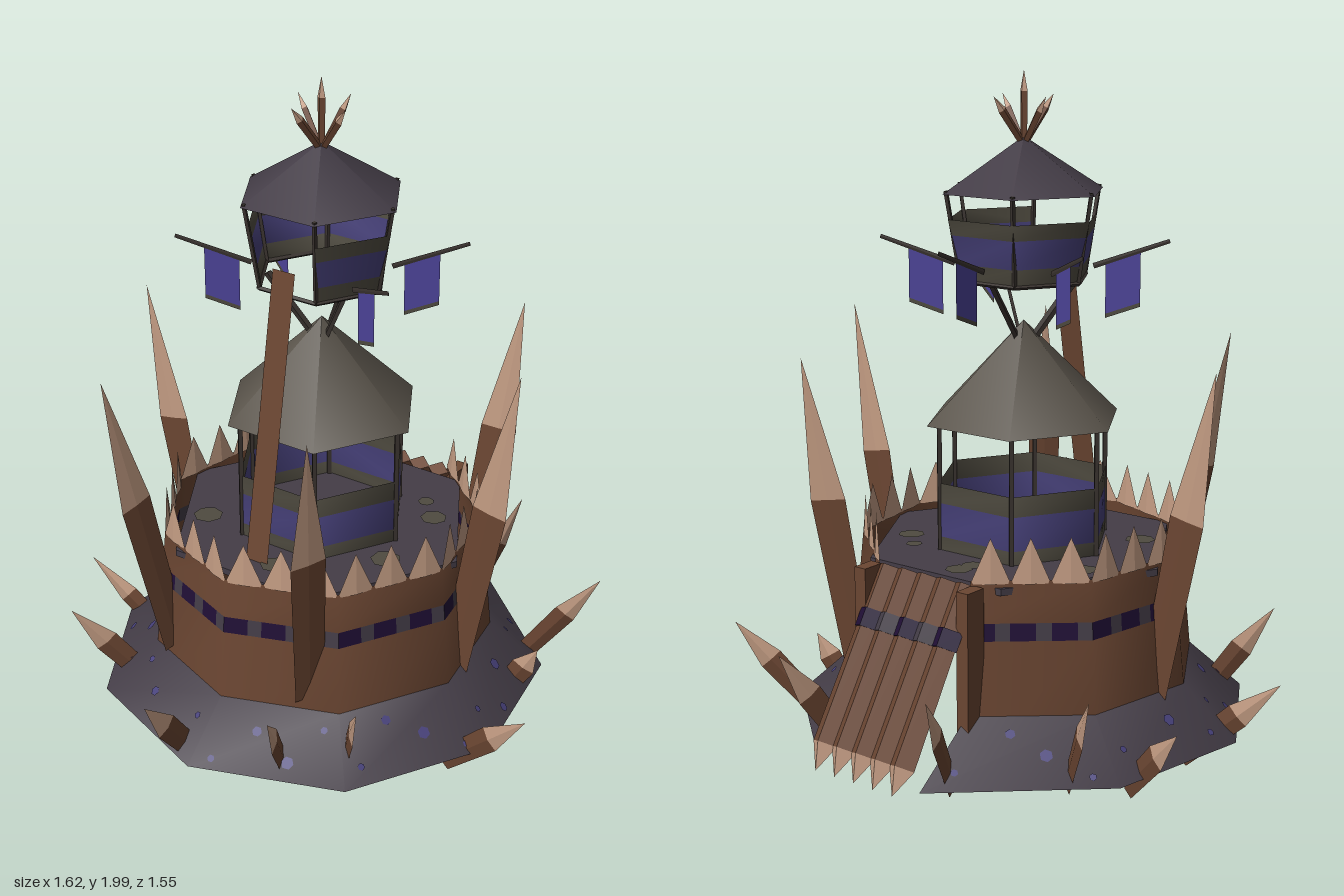
import * as THREE from 'three';

const V = (x, y, z) => new THREE.Vector3(x, y, z);
const mat = (name, color) =>
  Object.assign(new THREE.MeshStandardMaterial({ color, side: THREE.DoubleSide }), { name });

// Unit direction for an azimuth measured from the front (+z) towards +x
const dir = (deg) => V(Math.sin(deg * Math.PI / 180), 0, Math.cos(deg * Math.PI / 180));
const ring = (angles, r, y) => angles.map((a) => dir(a).multiplyScalar(r).setY(y));
const flat = (g) => {
  const f = g.toNonIndexed();
  f.computeVertexNormals();
  return f;
};

// Smooth strip between two matching rings of points
function loft(low, high, closed = false) {
  const n = low.length;
  const index = [];
  for (let i = 0; i < (closed ? n : n - 1); i++) {
    const j = (i + 1) % n;
    index.push(i, j, n + j, i, n + j, n + i);
  }
  const g = new THREE.BufferGeometry().setFromPoints([...low, ...high]);
  g.setIndex(index);
  g.computeVertexNormals();
  return g;
}

export function createModel() {
  const model = new THREE.Group();
  model.name = 'fort';
  const fort = new THREE.Group();
  fort.name = 'fortBody';
  fort.position.x = -0.03;
  model.add(fort);

  const wood = mat('wood', 0x6b4632);
  const bone = mat('sharpened wood', 0xc39c83);
  const slate = mat('slate hide', 0x443d47);
  const violet = mat('dark violet paint', 0x200f36);
  const olive = mat('olive hide', 0x4f4b40);
  const blue = mat('blue paint', 0x47417a);
  const cloth = mat('banner cloth', 0x4d449a);
  const roofing = mat('weathered roof', 0x5a544b);
  const pole = mat('dark pole', 0x3a332f);

  const add = (name, geo, m, parent = fort) => {
    const mesh = new THREE.Mesh(geo, m);
    mesh.name = name;
    parent.add(mesh);
    return mesh;
  };

  // Four-sided tapered beam from p to q; thin scales it along the normal
  function beam(name, p, q, r0, r1, m, thin = 1, normal = null) {
    const d = q.clone().sub(p);
    const y = d.clone().normalize();
    let z = normal ? normal.clone() : y.clone().cross(V(0, 1, 0));
    if (z.lengthSq() < 1e-6) z = V(0, 0, 1);
    const x = y.clone().cross(z).normalize();
    z = x.clone().cross(y);
    const g = new THREE.CylinderGeometry(r1, r0, d.length(), 4);
    g.scale(1, 1, thin);
    g.applyMatrix4(new THREE.Matrix4().makeBasis(x, y, z));
    const c = p.clone().lerp(q, 0.5);
    g.translate(c.x, c.y, c.z);
    return add(name, flat(g), m);
  }

  // Wooden stake with a pale sharpened end
  function stake(name, p, q, r, split, thin, normal) {
    const s = p.clone().lerp(q, split);
    beam(name + 'Shaft', p, s, r * 0.85, r, wood, thin, normal);
    beam(name + 'Tip', s, q, r, 0, bone, thin, normal);
  }

  // Palisade wall: nine-sided, open at the back for the gate
  const nine = [-160, -120, -80, -40, 0, 40, 80, 120, 160];
  const wallR = (y) => 0.482 + (0.65 - y) * 0.1;
  const wallRing = (y) => ring(nine, wallR(y), y);
  add('wallLower', loft(wallRing(0.12), wallRing(0.48)), wood);
  add('wallUpper', loft(wallRing(0.53), wallRing(0.65)), wood);

  // Sloping skirt around the wall
  const skirtOut = ring(nine, 0.685, 0.12);
  skirtOut[0].set(-0.185, 0.12, -0.7);
  skirtOut[8].set(0.185, 0.12, -0.7);
  const skirtIn = wallRing(0.27);
  add('skirt', loft(skirtOut, skirtIn), slate);

  // Painted spots on the skirt
  for (let i = 0; i < 8; i++) {
    for (let k = 0; k < 4; k++) {
      const u = (k + 0.5) / 4, v = [0.25, 0.75, 0.45, 0.15, 0.6][(k + 2 * i) % 5];
      const a = skirtOut[i].clone().lerp(skirtOut[i + 1], u);
      const b = skirtIn[i].clone().lerp(skirtIn[i + 1], u);
      const n = skirtOut[i + 1].clone().sub(skirtOut[i]).cross(b.clone().sub(a)).normalize();
      const spot = add('skirtSpot', new THREE.CircleGeometry(0.011 + 0.004 * (k % 3), 6), blue);
      spot.position.copy(a.lerp(b, v)).addScaledVector(n, 0.004);
      spot.quaternion.setFromUnitVectors(V(0, 0, 1), n);
    }
  }

  // Painted band and teeth along every wall side
  const bandLow = wallRing(0.48), bandHigh = wallRing(0.53), toothRing = ring(nine, wallR(0.65), 0.705);
  const cuts = [0, 0.21, 0.33, 0.54, 0.67, 0.88, 1];
  for (let i = 0; i < 8; i++) {
    for (let k = 0; k < 6; k++) {
      const part = (e) => [cuts[k], cuts[k + 1]].map((t) => e[i].clone().lerp(e[i + 1], t));
      add('wallBand', loft(part(bandLow), part(bandHigh)), k % 2 ? slate : violet);
    }
    for (let k = 0; k < 3; k++) {
      const g = new THREE.ConeGeometry(0.056, 0.13, 4);
      g.scale(1, 1, 0.12);
      const tooth = add('wallTooth', flat(g), bone);
      tooth.position.copy(toothRing[i].clone().lerp(toothRing[i + 1], (k + 0.5) / 3));
      tooth.rotation.y = (nine[i] + 20) * Math.PI / 180;
    }
  }

  // Floor inside the wall, with worn patches
  const floor = add('floor', flat(new THREE.CylinderGeometry(0.475, 0.475, 0.02, 6, 1, false, Math.PI / 6)), slate);
  floor.position.y = 0.62;
  for (const [x, z, s] of [[-0.04, -0.35, 0.04], [-0.32, -0.14, 0.04], [0.29, -0.17, 0.04], [-0.28, 0.2, 0.045],
    [0.3, 0.11, 0.045], [0.05, 0.32, 0.04], [-0.05, -0.3, 0.035], [0.22, -0.24, 0.025]]) {
    const patch = add('floorPatch', new THREE.CircleGeometry(s, 7).rotateX(-Math.PI / 2), olive);
    patch.position.set(x, 0.634, z);
  }

  // Gate posts and the ramp of sharpened logs
  for (const s of [-1, 1]) {
    const post = add('gatePost', new THREE.BoxGeometry(0.04, 0.5, 0.07), wood);
    post.position.set(s * 0.185, 0.385, -0.48);
  }
  for (let i = -2; i <= 2; i++) {
    const p = V(i * 0.07, 0.63, -0.44), q = V(i * 0.07, 0.12, -0.76);
    stake('rampLog', p, q, 0.034, 0.87, 1.3);
    beam('rampPaint', p.clone().lerp(q, 0.22), p.clone().lerp(q, 0.31), 0.035, 0.035, i % 2 ? slate : violet, 1.3);
  }

  // Hexagonal walls in three stacked strips, the middle one painted
  const hex = [30, 90, 150, 210, 270, 330];
  function hexWall(name, levels, closed) {
    for (let i = 0; i < 3; i++) {
      const [r0, y0] = levels[i], [r1, y1] = levels[i + 1];
      add(name + (i === 1 ? 'Band' : ''), loft(ring(hex, r0, y0), ring(hex, r1, y1), closed), i === 1 ? blue : olive);
    }
  }
  hexWall('hutParapet', [[0.265, 0.63], [0.265, 0.67], [0.265, 0.77], [0.265, 0.83]], true);
  hexWall('basket', [[0.195, 1.41], [0.205, 1.463], [0.221, 1.545], [0.23, 1.59]], false);

  // Roofs of the hut and of the lookout
  const hutRoof = add('hutRoof', new THREE.CylinderGeometry(0, 0.3, 0.29, 6, 1, true, Math.PI / 6), roofing);
  hutRoof.position.y = 1.145;
  const topRoof = add('lookoutRoof', new THREE.CylinderGeometry(0, 0.247, 0.155, 6, 1, true, Math.PI / 6), slate);
  topRoof.position.y = 1.738;

  // Posts, basket sill and struts
  for (const a of hex) {
    const at = (r, y) => dir(a).multiplyScalar(r).setY(y);
    beam('hutPost', at(0.262, 0.63), at(0.262, 1.02), 0.009, 0.009, pole);
    beam('lookoutPost', at(0.192, 1.41), at(0.236, 1.67), 0.007, 0.007, pole);
    beam('basketSill', at(0.195, 1.413), dir(a + 60).multiplyScalar(0.195).setY(1.413), 0.007, 0.007, pole);
  }
  for (const a of [60, 180, 300]) {
    beam('lookoutStrut', dir(a).multiplyScalar(0.03).setY(1.24), dir(a).multiplyScalar(0.155).setY(1.42), 0.012, 0.012, pole, 0.4);
  }

  // Plank leaning from the floor to the lookout
  add('gangplank', loft([V(-0.04, 0.63, 0.33), V(0.035, 0.63, 0.33)], [V(-0.04, 1.49, 0.18), V(0.035, 1.49, 0.18)]), wood);

  // Five banners on thin sloping poles
  for (const [x, z] of [[-0.36, 0.21], [0.36, 0.21], [-0.36, -0.21], [0.36, -0.21], [0, -0.38]]) {
    const p = V(x * 0.48, 1.45, z * 0.48), q = V(x, 1.525, z);
    beam('bannerPole', p, q, 0.008, 0.006, pole, 0.15);
    const a = p.clone().lerp(q, 0.16), b = p.clone().lerp(q, 0.62);
    const down = (v, h) => v.clone().setY(v.y - h);
    add('banner', loft([down(a, 0.15), down(b, 0.15)], [a, b]), cloth);
    add('bannerHem', loft([down(a, 0.162), down(b, 0.162)], [down(a, 0.15), down(b, 0.15)]), olive);
  }

  // Crown of small stakes on the peak
  for (const [x, y, z] of [[0, 2, 0], [-0.1, 1.93, -0.03], [0.1, 1.93, 0.03], [-0.03, 1.93, 0.1], [0.03, 1.93, -0.1]]) {
    stake('crownStake', V(0, 1.79, 0), V(x, y, z), 0.013, 0.72, 0.8);
  }

  // Tall flat stakes leaning out from the wall: base, tip, facing
  const tall = [
    [V(0.47, 0.26, -0.01), V(0.65, 1.27, -0.01), V(0, 0, 1)],
    [V(-0.47, 0.26, -0.01), V(-0.66, 1.22, -0.01), V(0, 0, 1)],
    [V(-0.25, 0.3, 0.41), V(-0.35, 1.21, 0.57), V(1, 0, 0.12)],
    [V(0.24, 0.3, 0.41), V(0.34, 1.22, 0.56), V(1, 0, 0.5)],
    [V(0.27, 0.3, -0.43), V(0.36, 1.22, -0.55), V(0.3, 0, 1)],
  ];
  for (const [p, q, n] of tall) stake('tallStake', p, q, 0.055, 0.55, 0.06, n);

  // Short stakes driven through the skirt: tip x, y, z, reach towards the middle and base height
  for (const [x, y, z, reach, baseY] of [
    [-0.75, 0.3, -0.31, 0.24, 0.06], [-0.62, 0.43, -0.53, 0.24, 0.1], [0.69, 0.37, -0.52, 0.25, 0.09],
    [0.64, 0.26, -0.22, 0.1, 0.1], [0.84, 0.34, 0.22, 0.32, 0.03], [0.5, 0.43, 0.56, 0.24, 0.1],
    [-0.07, 0.35, 0.78, 0.2, 0.09], [-0.54, 0.38, 0.55, 0.24, 0.09], [-0.78, 0.3, 0.18, 0.3, 0.03],
    [-0.27, 0.42, -0.77, 0.2, 0.1], [0.28, 0.42, -0.75, 0.22, 0.1], [0.3, 0.4, 0.7, 0.2, 0.12]]) {
    const q = V(x, y, z);
    const p = q.clone().addScaledVector(V(x, 0, z).normalize(), -reach).setY(baseY);
    stake('skirtStake', p, q, 0.038, 0.58, 0.2);
  }
  return model;
}
